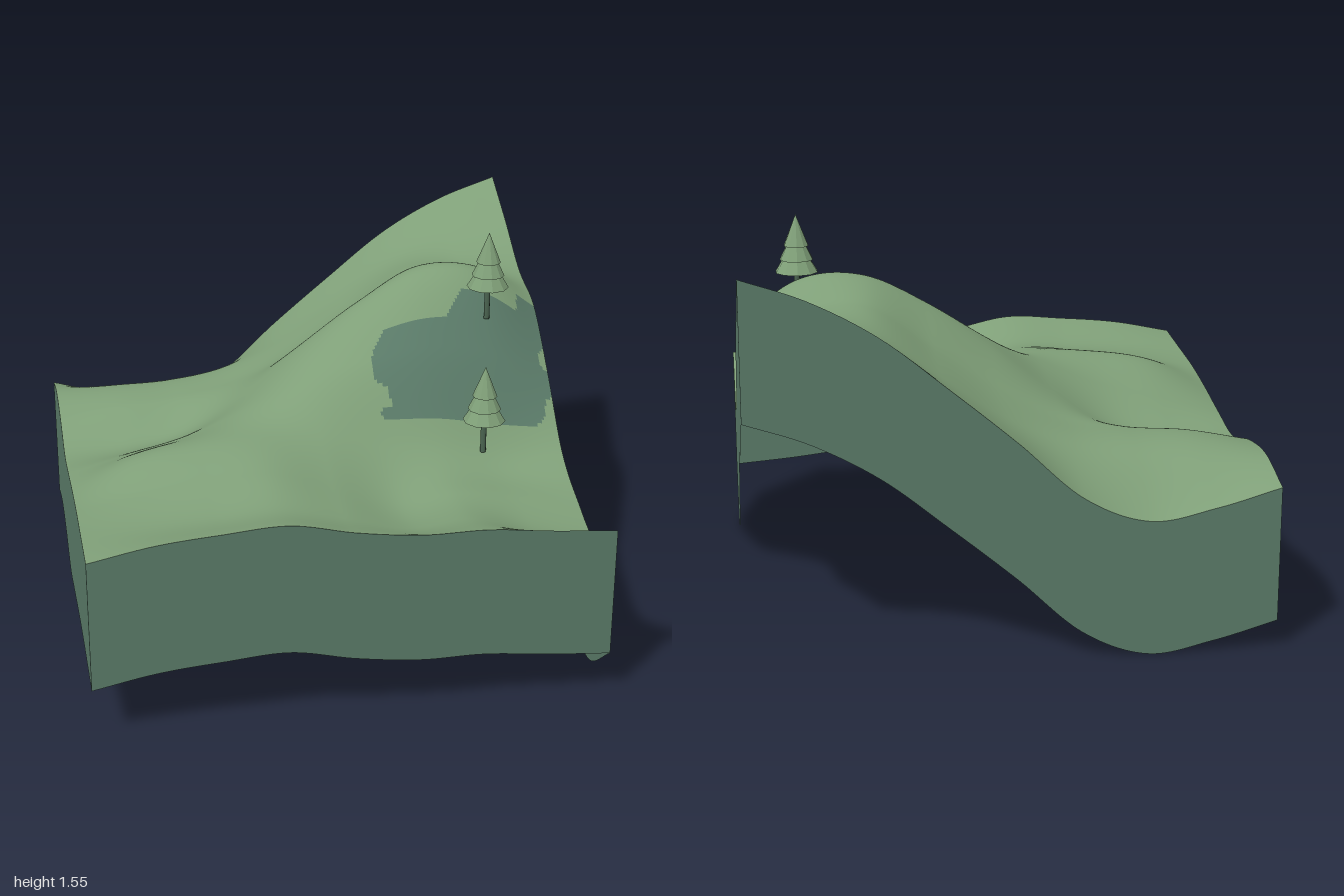
import * as THREE from 'three';

const grass = new THREE.MeshStandardMaterial({ color: 0x7f9f78, side: THREE.DoubleSide });
grass.name = 'grassGreen';
const earth = new THREE.MeshStandardMaterial({ color: 0x5a7a68, side: THREE.DoubleSide });
earth.name = 'earthGreen';
const bark = new THREE.MeshStandardMaterial({ color: 0x4a6350 });
bark.name = 'barkGreen';

const CELLS = 192;
const THICKNESS = 0.53;

// Control heights every 0.25 units: rows run from back to front, columns from -x to +x
const HEIGHTS = [
  [0.645, 0.575, 0.535, 0.635, 0.86, 1.07, 1.27, 1.41, 1.50],
  [0.70, 0.715, 0.725, 0.77, 0.88, 1.05, 1.22, 1.305, 1.37],
  [0.68, 0.73, 0.75, 0.80, 0.92, 1.09, 1.265, 1.265, 1.23],
  [0.62, 0.64, 0.69, 0.845, 1.04, 1.215, 1.335, 1.325, 1.155],
  [0.65, 0.72, 0.785, 0.89, 1.0, 1.065, 1.10, 1.06, 0.945],
  [0.69, 0.81, 0.855, 0.87, 0.84, 0.78, 0.755, 0.71, 0.705],
  [0.72, 0.765, 0.80, 0.82, 0.745, 0.655, 0.675, 0.635, 0.595],
  [0.735, 0.75, 0.765, 0.78, 0.725, 0.665, 0.685, 0.605, 0.545],
  [0.75, 0.80, 0.825, 0.84, 0.79, 0.76, 0.76, 0.735, 0.715],
];

// Outline of the dark patch on the slope, as x, z
const PATCH = [
  [0.25, 0.0], [0.27, -0.04], [0.32, -0.085], [0.58, -0.085], [0.62, -0.13], [0.66, -0.17],
  [0.9, -0.17], [0.92, -0.25], [1.01, -0.25], [1.01, -0.09], [0.97, -0.06], [0.97, -0.02],
  [1.01, 0.0], [1.01, 0.07], [0.97, 0.09], [0.95, 0.14], [0.91, 0.165], [0.27, 0.165],
  [0.25, 0.145], [0.31, 0.13], [0.3, 0.09], [0.25, 0.06],
];

// Smooth curve through evenly spaced values, with straight run-out at both ends
function spline(values, t) {
  const last = values.length - 1;
  const i = Math.min(Math.floor(t), last - 1);
  const f = t - i;
  const b = values[i], c = values[i + 1];
  const a = i > 0 ? values[i - 1] : 2 * b - c;
  const d = i + 2 <= last ? values[i + 2] : 2 * c - b;
  return b + 0.5 * f * (c - a + f * (2 * a - 5 * b + 4 * c - d + f * (3 * (b - c) + d - a)));
}

function heightAt(x, z) {
  return spline(HEIGHTS.map((row) => spline(row, (x + 1) * 4)), (z + 1) * 4);
}

function inPatch(x, z) {
  let inside = false;
  PATCH.forEach(([x1, z1], i) => {
    const [x2, z2] = PATCH[(i + 1) % PATCH.length];
    if ((z1 > z) !== (z2 > z) && x < x1 + ((z - z1) / (z2 - z1)) * (x2 - x1)) inside = !inside;
  });
  return inside;
}

function makeGeometry(positions, index) {
  const geometry = new THREE.BufferGeometry();
  geometry.setAttribute('position', new THREE.Float32BufferAttribute(positions, 3));
  geometry.setIndex(index);
  geometry.computeVertexNormals();
  return geometry;
}

// Rolling top surface, with the patch as a second material group
function makeTerrain() {
  const positions = [], grassIndex = [], patchIndex = [];
  const at = (i) => -1 + (2 * i) / CELLS;
  for (let r = 0; r <= CELLS; r++) {
    for (let c = 0; c <= CELLS; c++) {
      positions.push(at(c), heightAt(at(c), at(r)), at(r));
      if (r === CELLS || c === CELLS) continue;
      const a = r * (CELLS + 1) + c, b = a + CELLS + 1;
      const target = inPatch(at(c + 0.5), at(r + 0.5)) ? patchIndex : grassIndex;
      target.push(a, b, a + 1, a + 1, b, b + 1);
    }
  }
  const geometry = makeGeometry(positions, [...grassIndex, ...patchIndex]);
  geometry.addGroup(0, grassIndex.length, 0);
  geometry.addGroup(grassIndex.length, patchIndex.length, 1);
  return new THREE.Mesh(geometry, [grass, earth]);
}

// One side wall: the front edge turned by quarter turns, hanging from the surface
function makeWall(turns) {
  const positions = [], index = [];
  for (let i = 0; i <= CELLS; i++) {
    let x = -1 + (2 * i) / CELLS, z = 1;
    for (let k = 0; k < turns; k++) [x, z] = [z, -x];
    const y = heightAt(x, z);
    positions.push(x, y, z, x, y - THICKNESS, z);
    const a = i * 2;
    if (i < CELLS) index.push(a, a + 1, a + 2, a + 2, a + 1, a + 3);
  }
  return new THREE.Mesh(makeGeometry(positions, index), earth);
}

// Conifer: thin trunk and three stacked cones
function makeTree() {
  const tree = new THREE.Group();
  const trunk = new THREE.Mesh(new THREE.CylinderGeometry(0.012, 0.012, 0.16, 8), bark);
  trunk.name = 'trunk';
  trunk.position.y = 0.08;
  tree.add(trunk);
  for (const [base, top, radius] of [[0.14, 0.28, 0.086], [0.19, 0.325, 0.067], [0.245, 0.37, 0.05]]) {
    const cone = new THREE.ConeGeometry(radius, top - base, 10).toNonIndexed();
    cone.computeVertexNormals();
    const tier = new THREE.Mesh(cone, grass);
    tier.name = 'foliageTier';
    tier.position.y = (base + top) / 2;
    tree.add(tier);
  }
  return tree;
}

export function createModel() {
  const model = new THREE.Group();
  model.name = 'hillsideBlock';

  const terrain = makeTerrain();
  terrain.name = 'terrain';
  model.add(terrain);

  ['frontWall', 'leftWall', 'backWall', 'rightWall'].forEach((name, turns) => {
    const wall = makeWall(turns);
    wall.name = name;
    model.add(wall);
  });

  for (const [name, x, y, z] of [['upperTree', 0.75, 1.18, -0.085], ['lowerTree', 0.665, 0.733, 0.25]]) {
    const tree = makeTree();
    tree.name = name;
    tree.position.set(x, y, z);
    model.add(tree);
  }
  return model;
}
